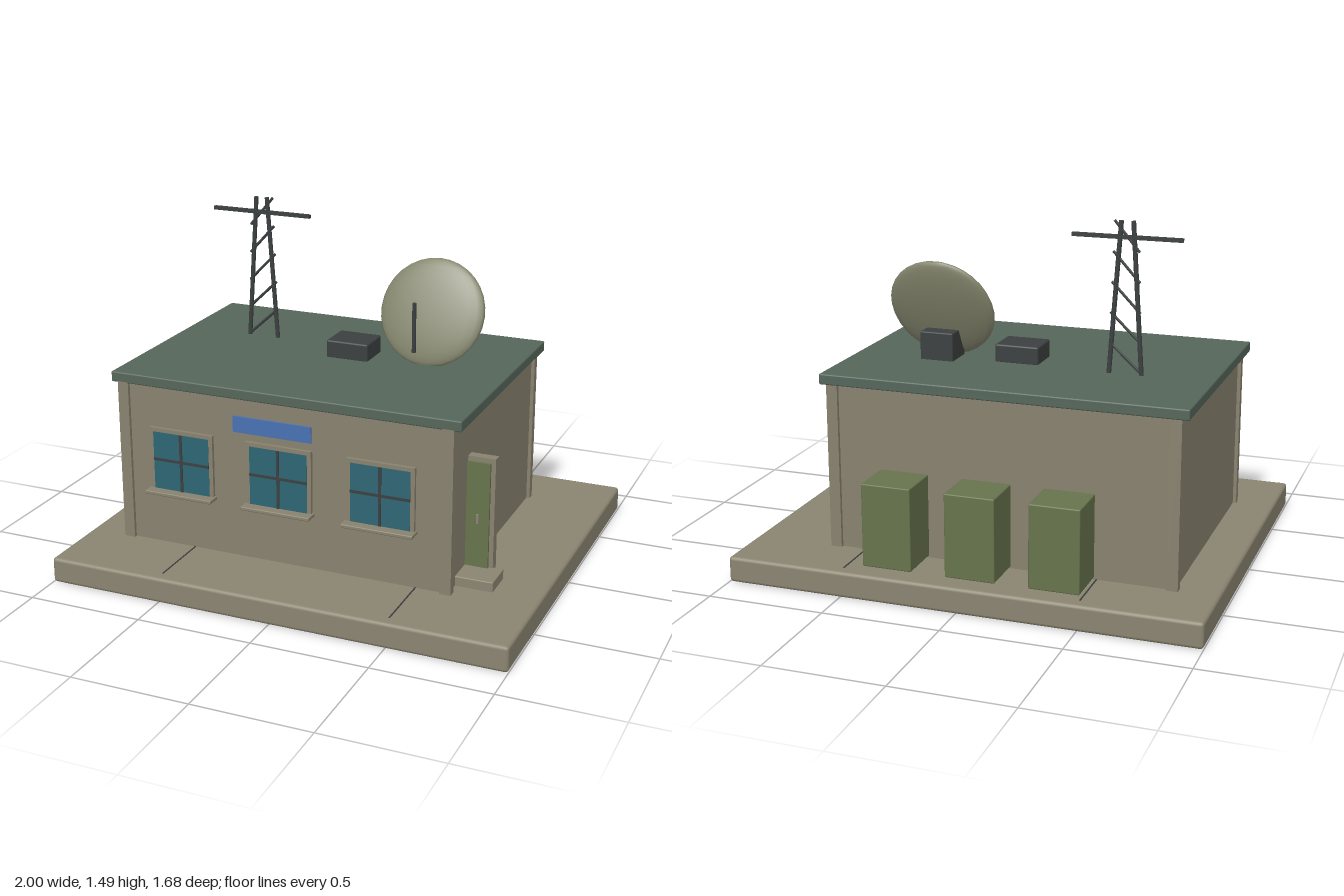
import * as THREE from 'three';
import { RoundedBoxGeometry } from 'three/addons/geometries/RoundedBoxGeometry.js';

const mat = (color) => new THREE.MeshStandardMaterial({ color });

export function createModel() {
  const root = new THREE.Group();
  const M = {
    concrete: mat(0x8a8470), wall: mat(0x88826e), roof: mat(0x55665a), green: mat(0x66744c),
    dark: mat(0x3c4040), glass: mat(0x2f6675), blue: mat(0x4a72b4), dish: mat(0x83856c),
  };

  // Box given by its limits on each axis; a radius rounds its edges
  function box(name, material, [x0, x1], [y0, y1], [z0, z1], radius = 0, parent = root) {
    const size = [x1 - x0, y1 - y0, z1 - z0];
    const geometry = radius ? new RoundedBoxGeometry(...size, 2, radius) : new THREE.BoxGeometry(...size);
    const mesh = new THREE.Mesh(geometry, material);
    mesh.position.set((x0 + x1) / 2, (y0 + y1) / 2, (z0 + z1) / 2);
    mesh.name = name;
    parent.add(mesh);
    return mesh;
  }

  // Round bar between two points
  function bar(name, a, b, radius, parent) {
    const from = new THREE.Vector3(...a), to = new THREE.Vector3(...b);
    const mesh = new THREE.Mesh(new THREE.CylinderGeometry(radius, radius, from.distanceTo(to), 8), M.dark);
    mesh.position.copy(from).add(to).multiplyScalar(0.5);
    mesh.quaternion.setFromUnitVectors(new THREE.Vector3(0, 1, 0), to.sub(from).normalize());
    mesh.name = name;
    parent.add(mesh);
  }

  // Ground slab with two expansion joints
  box('groundSlab', M.concrete, [-1, 1], [0, 0.11], [-0.84, 0.84], 0.015);
  for (const x of [-0.5, 0.5]) box('slabJoint', M.dark, [x - 0.003, x + 0.003], [0.1, 0.112], [-0.79, 0.79]);

  // Walls, corner posts and roof
  box('walls', M.wall, [-0.82, 0.64], [0.1, 0.82], [-0.57, 0.505]);
  for (const x of [-0.835, 0.607])
    for (const z of [-0.585, 0.485]) box('cornerPost', M.wall, [x, x + 0.048], [0.1, 0.815], [z, z + 0.035]);
  box('roof', M.roof, [-0.865, 0.685], [0.81, 0.855], [-0.59, 0.52], 0.006);

  // Front windows
  for (const x of [-0.545, -0.098, 0.35]) {
    const win = new THREE.Group();
    win.name = 'window';
    root.add(win);
    for (const s of [-1, 1]) {
      const c = x + s * 0.138;
      box('windowJamb', M.wall, [c - 0.009, c + 0.009], [0.355, 0.632], [0.495, 0.52], 0, win);
    }
    box('windowHead', M.wall, [x - 0.146, x + 0.146], [0.614, 0.632], [0.495, 0.521], 0, win);
    box('windowGlass', M.glass, [x - 0.129, x + 0.129], [0.36, 0.615], [0.5, 0.522], 0, win);
    box('windowMullion', M.dark, [x - 0.006, x + 0.006], [0.36, 0.615], [0.515, 0.526], 0, win);
    box('windowCrossbar', M.dark, [x - 0.129, x + 0.129], [0.488, 0.499], [0.515, 0.526], 0, win);
    box('windowSill', M.wall, [x - 0.155, x + 0.155], [0.345, 0.361], [0.5, 0.565], 0.004, win);
  }

  // Blank sign panel
  box('signPanel', M.blue, [-0.283, 0.065], [0.682, 0.751], [0.545, 0.553]);

  // Side entrance: frame, door, handle and step
  box('doorFrame', M.wall, [0.52, 0.757], [0.11, 0.628], [0.256, 0.296]);
  box('door', M.green, [0.54, 0.738], [0.145, 0.608], [0.28, 0.307]);
  box('doorHandle', M.concrete, [0.686, 0.696], [0.345, 0.385], [0.3, 0.315]);
  box('doorStep', M.concrete, [0.48, 0.8], [0.105, 0.152], [0.285, 0.425], 0.004);

  // Equipment cabinets along the rear wall
  for (const x of [-0.39, -0.04, 0.315])
    box('rearCabinet', M.green, [x - 0.105, x + 0.105], [0.125, 0.475], [-0.78, -0.585], 0.005);

  // Rooftop unit
  box('rooftopUnit', M.dark, [-0.115, 0.075], [0.85, 0.93], [-0.168, -0.01], 0.008);

  // Lattice mast with a cross arm
  const mast = new THREE.Group();
  mast.name = 'mast';
  root.add(mast);
  const mx = -0.493, mz = -0.178, y0 = 0.855, y1 = 1.485;
  const half = (y) => THREE.MathUtils.lerp(0.069, 0.025, (y - y0) / (y1 - y0));
  for (const s of [-1, 1])
    bar('mastLeg', [mx + s * half(y0), y0 - 0.005, mz], [mx + s * half(y1), y1, mz], 0.01, mast);
  for (let i = 0; i < 5; i++) {
    const y = y0 + 0.005 + i * 0.125, w = 0.069 - i * 0.004;
    bar('mastBrace', [mx - w, y, mz], [mx + w, y + 0.125, mz], 0.006, mast);
  }
  box('crossArm', M.dark, [-0.723, -0.263], [1.411, 1.427], [mz - 0.008, mz + 0.008], 0, mast);

  // Tilted dish, its mount and the upright feed rod
  const dish = new THREE.Mesh(new THREE.SphereGeometry(0.232, 24, 16), M.dish);
  dish.name = 'dish';
  dish.scale.z = 0.18;
  dish.position.set(0.313, 1.064, -0.157);
  dish.rotation.x = -0.385;
  root.add(dish);
  box('dishMount', M.dark, [0.24, 0.386], [0.85, 0.975], [-0.232, -0.09], 0.006);
  bar('feedRod', [0.313, 0.95, 0.063], [0.313, 1.162, 0.063], 0.009, root);

  return root;
}
